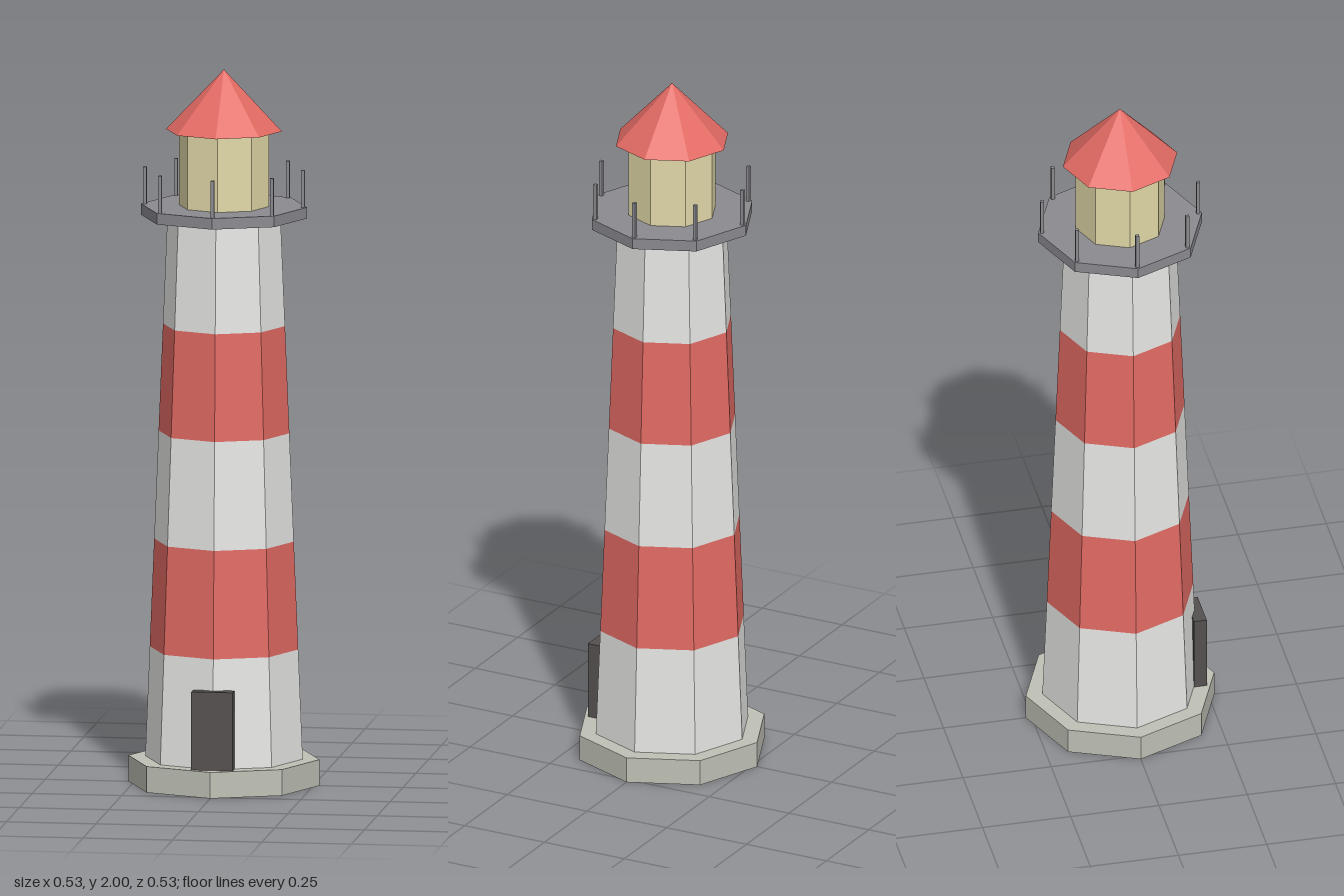
import * as THREE from 'three';

const material = (name, color) => {
  const m = new THREE.MeshStandardMaterial({ color, flatShading: true });
  m.name = name;
  return m;
};

export function createModel() {
  const white = material('white', 0xe6e6e4);
  const red = material('red', 0xe26a63);
  const stone = material('stone', 0xbfc0b5);
  const iron = material('iron grey', 0x8a8a90);
  const glass = material('lantern yellow', 0xe2d9a8);
  const dark = material('door brown', 0x555050);

  const model = new THREE.Group();
  model.name = 'lighthouse';

  const add = (name, geometry, mat, x, y, z, parent = model) => {
    const mesh = new THREE.Mesh(geometry, mat);
    mesh.name = name;
    mesh.position.set(x, y, z);
    parent.add(mesh);
    return mesh;
  };

  // Octagonal section between two heights, with a corner facing the front
  const octagon = (name, rBottom, rTop, y0, y1, mat, open = false, parent = model) =>
    add(name, new THREE.CylinderGeometry(rTop, rBottom, y1 - y0, 8, 1, open), mat, 0, (y0 + y1) / 2, 0, parent);

  octagon('base', 0.267, 0.267, 0, 0.073, stone);

  // Tapering tower in five alternating bands
  const tower = new THREE.Group();
  tower.name = 'tower';
  model.add(tower);
  const levels = [0.073, 0.38, 0.682, 0.985, 1.285, 1.59];
  const radiusAt = (y) => 0.22 - (0.062 * (y - 0.073)) / 1.517;
  for (let i = 0; i < 5; i++) {
    const [y0, y1] = [levels[i], levels[i + 1]];
    octagon('towerBand' + (i + 1), radiusAt(y0), radiusAt(y1), y0, y1, i % 2 ? red : white, true, tower);
  }

  // Door slab around the front corner
  add('door', new THREE.BoxGeometry(0.116, 0.219, 0.036), dark, 0, 0.1825, 0.215);

  // Gallery with a post at each corner
  octagon('gallery', 0.232, 0.232, 1.588, 1.619, iron);
  const posts = new THREE.Group();
  posts.name = 'galleryPosts';
  model.add(posts);
  const postGeometry = new THREE.BoxGeometry(0.01, 0.105, 0.01);
  for (let i = 0; i < 8; i++) {
    const a = (i * Math.PI) / 4;
    add('post', postGeometry, iron, 0.221 * Math.sin(a), 1.6705, 0.221 * Math.cos(a), posts);
  }

  // Lantern room and pointed roof
  octagon('lanternRoom', 0.126, 0.126, 1.619, 1.832, glass);
  add('roof', new THREE.ConeGeometry(0.162, 0.17, 8), red, 0, 1.915, 0);

  return model;
}
